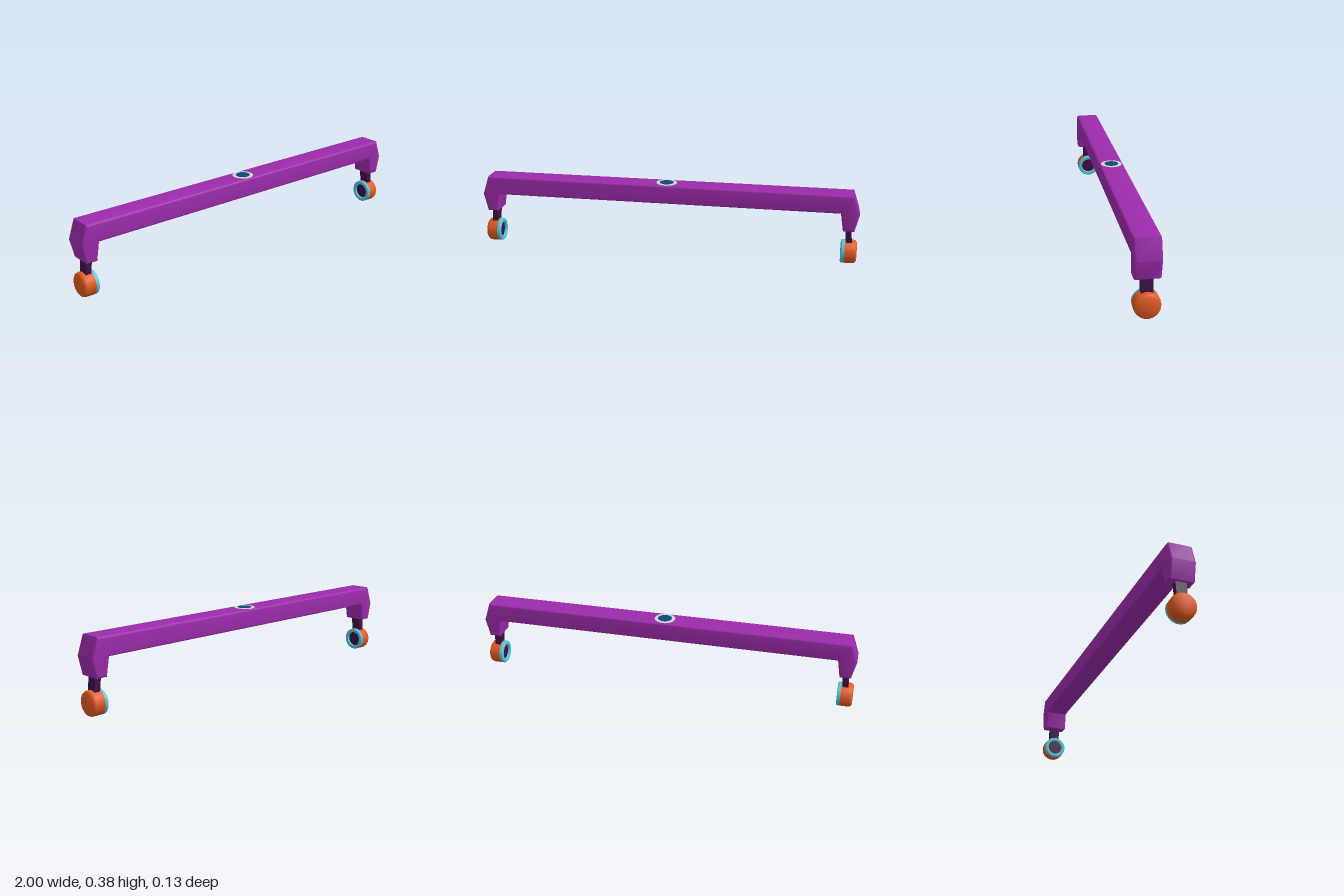
import * as THREE from 'three';
import { toCreasedNormals } from 'three/addons/utils/BufferGeometryUtils.js';

const material = (name, color, side = THREE.FrontSide) => {
  const m = new THREE.MeshStandardMaterial({ color, side });
  m.name = name;
  return m;
};

// Extrudes an x-y outline, centred on z = 0, with softened edges
function bevelled(points, depth, bevel) {
  const shape = new THREE.Shape(points.map(([x, y]) => new THREE.Vector2(x, y)));
  const geometry = new THREE.ExtrudeGeometry(shape, {
    depth: depth - 2 * bevel, bevelEnabled: bevel > 0, bevelThickness: bevel,
    bevelSize: bevel, bevelOffset: -bevel, bevelSegments: 3,
  });
  geometry.translate(0, 0, -depth / 2 + bevel);
  return toCreasedNormals(geometry, 0.6);
}

// Revolved profile of [radius, distance outward] along +x
function turned(points) {
  const geometry = new THREE.LatheGeometry(points.map(([r, d]) => new THREE.Vector2(r, d)), 18);
  geometry.rotateZ(-Math.PI / 2);
  return toCreasedNormals(geometry, 0.7);
}

export function createModel() {
  const purple = material('purple', 0x9c2bab);
  const plum = material('dark plum', 0x3f1046, THREE.DoubleSide);
  const orange = material('orange', 0xe05a22);
  const cyan = material('cyan', 0x52c8d8, THREE.DoubleSide);
  const silver = material('silver', 0xd4d4d4);
  const navy = material('navy', 0x0c477c);

  const model = new THREE.Group();
  const add = (parent, name, geometry, mat) => {
    const mesh = new THREE.Mesh(geometry, mat);
    mesh.name = name;
    parent.add(mesh);
    return mesh;
  };

  // Long bar with a downturned, angular end on each side
  const half = [[0.905, 0.283], [0.921, 0.189], [0.978, 0.189], [1, 0.283], [0.967, 0.381]];
  const outline = [...half, ...half.map(([x, y]) => [-x, y]).reverse()];
  add(model, 'headband', bevelled(outline, 0.126, 0.011), purple);

  // Round badge on top of the bar
  const badgeRim = add(model, 'badgeRim', new THREE.CylinderGeometry(0.054, 0.054, 0.004, 32), silver);
  badgeRim.position.y = 0.381;
  const badgeCentre = add(model, 'badgeCentre', new THREE.CylinderGeometry(0.036, 0.036, 0.006, 32), navy);
  badgeCentre.position.y = 0.3815;

  // Slanted stem and padded cup at each end
  const stem = bevelled([[0.942, 0.11], [0.972, 0.11], [0.964, 0.2], [0.932, 0.2]], 0.054, 0);
  const shell = turned([[0, 0.018], [0.0625, 0.018], [0.0625, 0.062], [0.059, 0.073], [0.049, 0.08], [0, 0.08]]);
  const cushion = turned([[0.041, 0.016], [0.041, 0.003], [0.044, 0], [0.058, 0], [0.062, 0.004], [0.062, 0.019]]);
  const lining = turned([[0, 0.012], [0.042, 0.012]]);
  for (const side of [1, -1]) {
    const end = new THREE.Group();
    end.name = side > 0 ? 'leftEnd' : 'rightEnd';
    end.rotation.y = side > 0 ? 0 : Math.PI;
    add(end, 'stem', stem, plum);
    const cup = new THREE.Group();
    cup.name = 'earCup';
    cup.position.set(0.918, 0.0625, 0);
    add(cup, 'shell', shell, orange);
    add(cup, 'cushion', cushion, cyan);
    add(cup, 'lining', lining, plum);
    end.add(cup);
    model.add(end);
  }
  return model;
}
